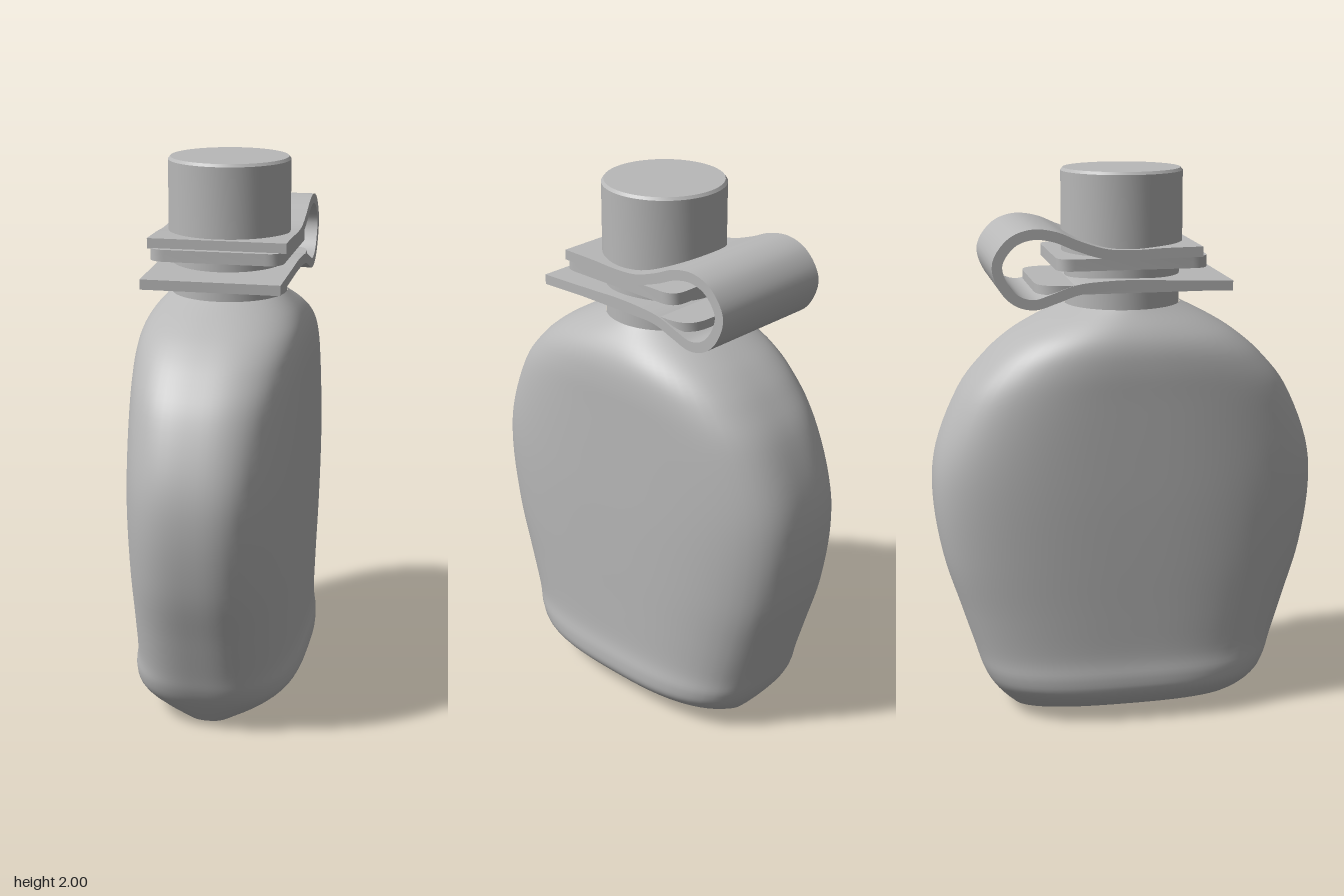
import * as THREE from 'three';
import { toCreasedNormals } from 'three/addons/utils/BufferGeometryUtils.js';

const grey = new THREE.MeshStandardMaterial({ color: 0xb8b8b8 });
grey.name = 'canteen grey';

// Body levels: height, half width, half length, roundness exponent
const LEVELS = [
  [0, 0.14, 0.42, 2.6], [0.05, 0.235, 0.465, 2.7], [0.11, 0.298, 0.51, 2.9],
  [0.17, 0.308, 0.54, 3], [0.25, 0.297, 0.565, 3], [0.4, 0.298, 0.612, 3],
  [0.6, 0.302, 0.672, 3], [0.82, 0.305, 0.702, 3], [1.0, 0.305, 0.685, 3],
  [1.2, 0.304, 0.603, 3], [1.32, 0.303, 0.51, 2.9], [1.4, 0.292, 0.42, 2.7],
  [1.46, 0.262, 0.325, 2.4], [1.52, 0.208, 0.21, 2],
];
const SEG = 72, STEPS = 5;

// One interpolated level; t runs over the list of levels
function levelAt(t) {
  const last = LEVELS.length - 1, i = Math.min(Math.floor(t), last - 1), f = t - i;
  const at = k => LEVELS[Math.max(0, Math.min(last, k))];
  return LEVELS[0].map((_, c) => {
    const [a, b, d, e] = [at(i - 1)[c], at(i)[c], at(i + 1)[c], at(i + 2)[c]];
    return b + 0.5 * f * (d - a + f * (2 * a - 5 * b + 4 * d - e + f * (3 * (b - d) + e - a)));
  });
}

function ringPoint([y, hx, hz, n], j) {
  const a = (j / SEG) * Math.PI * 2, c = Math.cos(a), s = Math.sin(a);
  const r = Math.pow(Math.abs(c) ** n + Math.abs(s) ** n, -1 / n);
  return [hx * c * r, y, hz * s * r];
}

function bodyGeometry() {
  const pos = [], idx = [], rows = (LEVELS.length - 1) * STEPS;
  for (let i = 0; i <= rows; i++) {
    const level = levelAt(i / STEPS);
    for (let j = 0; j < SEG; j++) pos.push(...ringPoint(level, j));
  }
  for (let i = 0; i < rows; i++) for (let j = 0; j < SEG; j++) {
    const a = i * SEG + j, b = i * SEG + (j + 1) % SEG;
    idx.push(a, a + SEG, b, b, a + SEG, b + SEG);
  }
  // Flat base with its own vertices, so its rim stays sharp
  const centre = pos.length / 3;
  pos.push(0, 0, 0);
  for (let j = 0; j < SEG; j++) {
    pos.push(...ringPoint(LEVELS[0], j));
    idx.push(centre, centre + 1 + j, centre + 1 + (j + 1) % SEG);
  }
  const g = new THREE.BufferGeometry();
  g.setAttribute('position', new THREE.Float32BufferAttribute(pos, 3));
  g.setIndex(idx);
  g.computeVertexNormals();
  return g;
}

// Strap side outline: a centre line (towards the back, up) thickened both ways
function strapGeometry() {
  const path = new THREE.CatmullRomCurve3([
    [-0.243, 1.724], [-0.1, 1.722], [0, 1.718], [0.1, 1.724], [0.2, 1.755], [0.28, 1.788],
    [0.36, 1.797], [0.43, 1.77], [0.479, 1.695], [0.455, 1.615], [0.41, 1.57], [0.35, 1.555],
    [0.28, 1.575], [0.2, 1.602], [0.1, 1.612], [0, 1.614], [-0.1, 1.61], [-0.352, 1.602],
  ].map(p => new THREE.Vector3(p[0], p[1], 0)));
  const N = 90, upper = [], lower = [];
  for (let i = 0; i <= N; i++) {
    const p = path.getPoint(i / N), t = path.getTangent(i / N);
    upper.push(new THREE.Vector2(p.x - t.y * 0.018, p.y + t.x * 0.018));
    lower.unshift(new THREE.Vector2(p.x + t.y * 0.018, p.y - t.x * 0.018));
  }
  const g = new THREE.ExtrudeGeometry(new THREE.Shape([...upper, ...lower]),
    { depth: 0.49, bevelEnabled: false });
  g.translate(0, 0, -0.243);
  g.rotateY(Math.PI / 2);
  return toCreasedNormals(g, 0.6);
}

// Horizontal plate with rounded corners
function plateGeometry(hx, hz, r, y0, y1) {
  const s = new THREE.Shape();
  s.moveTo(-hx + r, -hz);
  s.lineTo(hx - r, -hz);
  s.quadraticCurveTo(hx, -hz, hx, -hz + r);
  s.lineTo(hx, hz - r);
  s.quadraticCurveTo(hx, hz, hx - r, hz);
  s.lineTo(-hx + r, hz);
  s.quadraticCurveTo(-hx, hz, -hx, hz - r);
  s.lineTo(-hx, -hz + r);
  s.quadraticCurveTo(-hx, -hz, -hx + r, -hz);
  const g = new THREE.ExtrudeGeometry(s, { depth: y1 - y0, bevelEnabled: false, curveSegments: 8 });
  g.rotateX(-Math.PI / 2);
  g.translate(0, y0, 0);
  return toCreasedNormals(g, 0.6);
}

function turned(points) {
  const g = new THREE.LatheGeometry(points.map(p => new THREE.Vector2(...p)), 64);
  return toCreasedNormals(g, 0.5);
}

export function createModel() {
  const model = new THREE.Group();
  model.name = 'canteen';
  const add = (name, geometry) => {
    const mesh = new THREE.Mesh(geometry, grey);
    mesh.name = name;
    model.add(mesh);
  };
  add('body', bodyGeometry());
  add('neck', turned([[0.207, 1.48], [0.207, 1.72]]));
  add('cap', turned([[0, 1.69], [0.218, 1.69], [0.218, 1.99], [0.21, 2], [0, 2]]));
  add('strap', strapGeometry());
  add('upperWasher', plateGeometry(0.236, 0.268, 0.06, 1.666, 1.708));
  add('lowerWasher', plateGeometry(0.24, 0.34, 0.1, 1.586, 1.618));
  return model;
}
